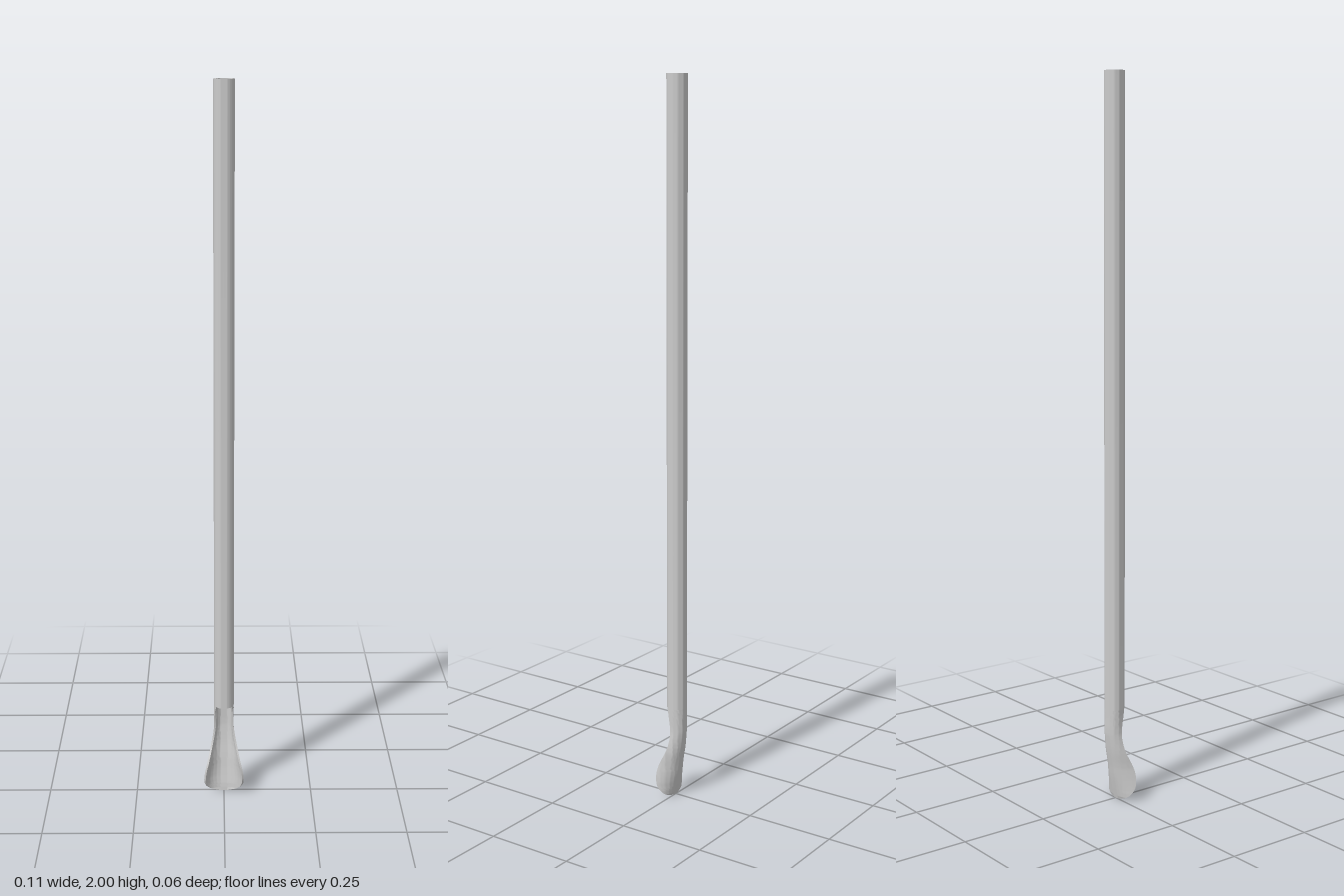
import * as THREE from 'three';
import { toCreasedNormals } from 'three/addons/utils/BufferGeometryUtils.js';

const material = new THREE.MeshStandardMaterial({ color: 0xcccccc });
const R = 0.028, WALL = 0.005, AXIS_Z = -0.004, CUT_Y = 0.265;

// Spoon sections: height, half width, half arc in degrees, back z, rim z, wall
const SECTIONS = [
  [CUT_Y, 0.028, 128, -0.032, 0.013, WALL],
  [0.24, 0.028, 112, -0.032, 0.0065, WALL],
  [0.20, 0.028, 98, -0.032, 0.0, WALL],
  [0.17, 0.032, 88, -0.029, 0.001, WALL],
  [0.14, 0.038, 80, -0.025, 0.008, WALL],
  [0.10, 0.047, 70, -0.018, 0.025, WALL],
  [0.07, 0.054, 62, -0.0135, 0.03, WALL],
  [0.04, 0.0565, 58, -0.008, 0.026, WALL],
  [0.02, 0.050, 55, -0.004, 0.015, WALL],
  [0.008, 0.036, 50, -0.0015, 0.006, 0.004],
  [0, 0.010, 45, 0, 0.001, 0.003],
];

// Hollow straight tube, open at both ends
function tubeGeometry() {
  const r = R - WALL;
  const profile = [[R, CUT_Y], [R, 2], [r, 2], [r, CUT_Y], [R, CUT_Y]]
    .map(([x, y]) => new THREE.Vector2(x, y));
  const g = new THREE.LatheGeometry(profile, 48);
  g.translate(0, 0, AXIS_Z);
  return toCreasedNormals(g, 0.6);
}

// Walled scoop: each ring is an outer arc followed by the inner arc reversed
function spoonGeometry() {
  const rows = 50, n = 33, ring = 2 * n;
  const splines = [1, 2, 3, 4, 5].map(c =>
    new THREE.SplineCurve(SECTIONS.map(s => new THREE.Vector2(s[0], s[c]))));
  const positions = [], index = [];

  for (let i = 0; i <= rows; i++) {
    const pts = splines.map(s => s.getPoint(i / rows));
    const y = Math.max(0, pts[0].x);
    const [w, deg, back, rim, wall] = pts.map(p => p.y);
    const A = THREE.MathUtils.degToRad(deg);
    const sx = w / Math.sin(Math.min(A, Math.PI / 2));
    const sz = (rim - back) / (1 - Math.cos(A));
    for (let k = 0; k < ring; k++) {
      const inner = k >= n;
      const a = A * (2 * (inner ? ring - 1 - k : k) / (n - 1) - 1);
      let x = sx * Math.sin(a), z = back + sz * (1 - Math.cos(a));
      if (inner) {
        const dx = sx * Math.cos(a), dz = sz * Math.sin(a), len = Math.hypot(dx, dz);
        x -= wall * dz / len;
        z += wall * dx / len;
      }
      positions.push(x, y, z);
    }
  }
  for (let i = 0; i < rows; i++) {
    for (let k = 0; k < ring; k++) {
      const a = i * ring + k, b = i * ring + (k + 1) % ring;
      index.push(a, b, a + ring, b, b + ring, a + ring);
    }
  }
  // Close the tip
  const end = rows * ring;
  for (let k = 0; k < n - 1; k++) {
    const a = end + k, c = end + ring - 1 - k;
    index.push(a, a + 1, c, a + 1, c - 1, c);
  }
  const g = new THREE.BufferGeometry();
  g.setAttribute('position', new THREE.Float32BufferAttribute(positions, 3));
  g.setIndex(index);
  return toCreasedNormals(g, 0.7);
}

export function createModel() {
  const group = new THREE.Group();
  group.name = 'spoonStraw';
  const add = (name, geometry) => {
    const mesh = new THREE.Mesh(geometry, material);
    mesh.name = name;
    group.add(mesh);
  };
  add('tube', tubeGeometry());
  add('spoon', spoonGeometry());
  return group;
}
